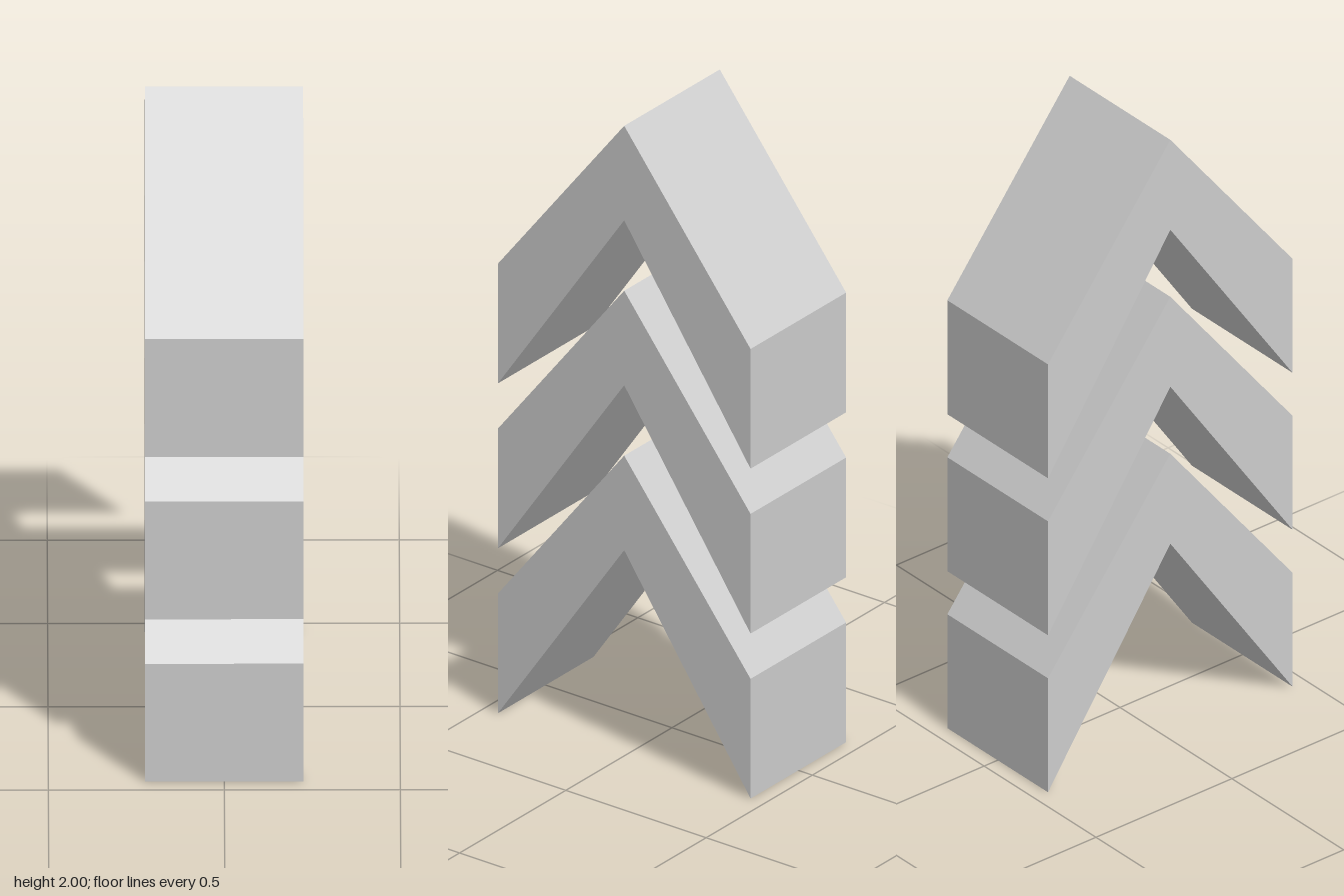
import * as THREE from 'three';

export function createModel() {
  const group = new THREE.Group();
  const material = new THREE.MeshStandardMaterial({ color: 0xcccccc, flatShading: true });
  const half = 0.45, width = 0.45, step = 0.5235;

  // Chevron side profile: vertical ends, sloping arms, pointed top and notch
  const profile = new THREE.Shape([
    [-half, 0], [0, 0.653], [half, 0], [half, 0.38], [0, 0.953], [-half, 0.38],
  ].map(([x, y]) => new THREE.Vector2(x, y)));

  const geometry = new THREE.ExtrudeGeometry(profile, { depth: width, bevelEnabled: false });
  geometry.translate(0, 0, -width / 2);
  geometry.rotateY(Math.PI / 2);

  // Three identical chevrons stacked with gaps
  ['lowerChevron', 'middleChevron', 'upperChevron'].forEach((name, i) => {
    const chevron = new THREE.Mesh(geometry, material);
    chevron.name = name;
    chevron.position.y = i * step;
    group.add(chevron);
  });
  return group;
}
